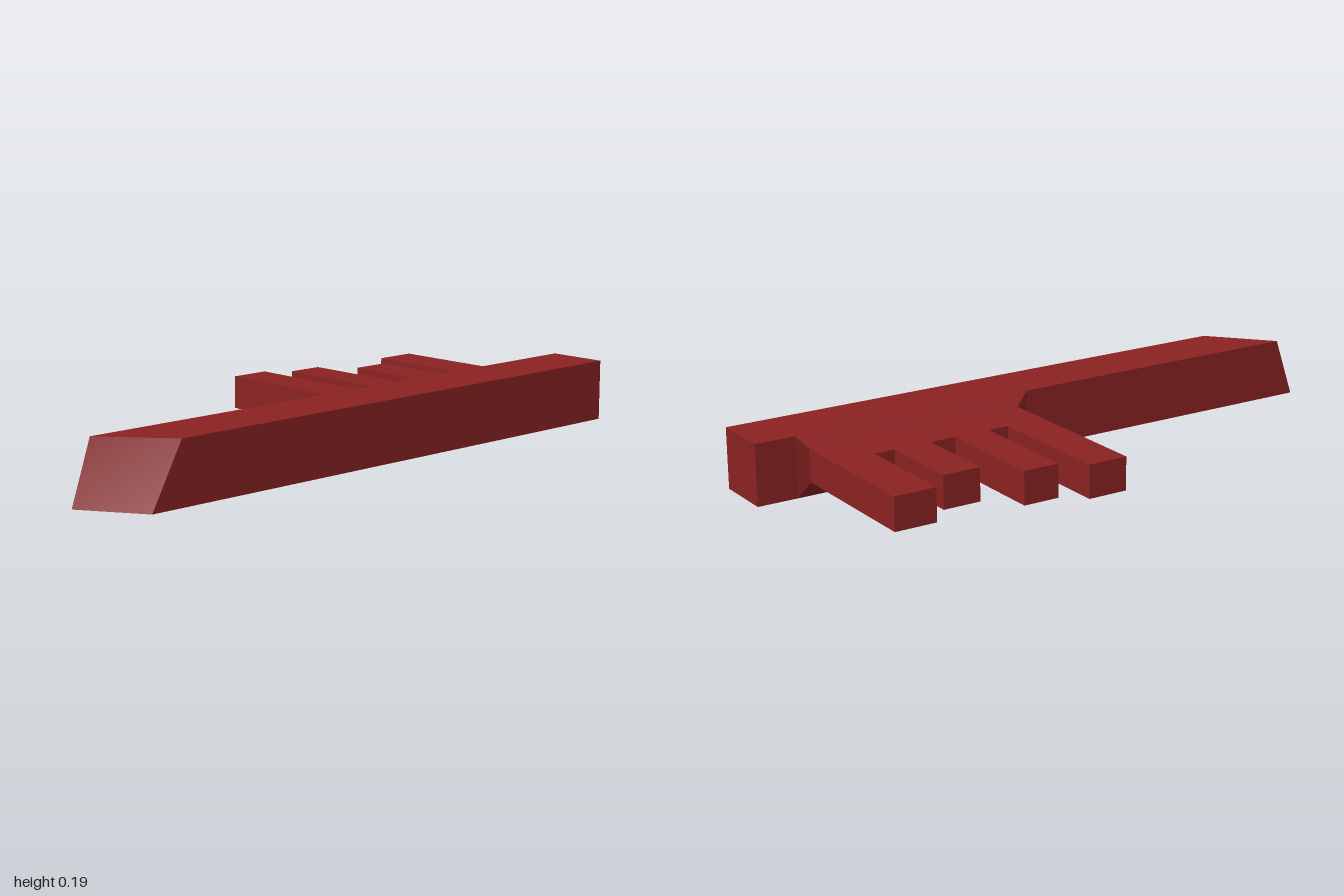
import * as THREE from 'three';

const material = new THREE.MeshStandardMaterial({ color: 0x8b2222 });

// Unit box whose corners are moved to the point given by rule(x, y, z), each 0 or 1
function hexahedron(rule) {
  const geometry = new THREE.BoxGeometry(1, 1, 1);
  const p = geometry.attributes.position;
  for (let i = 0; i < p.count; i++) {
    p.setXYZ(i, ...rule(p.getX(i) + 0.5, p.getY(i) + 0.5, p.getZ(i) + 0.5));
  }
  geometry.computeVertexNormals();
  return geometry;
}

export function createModel() {
  const group = new THREE.Group();
  const add = (name, geometry) => {
    const mesh = new THREE.Mesh(geometry, material);
    mesh.name = name;
    group.add(mesh);
  };
  const height = 0.192, back = 0.198, front = 0.389;
  const bitBottom = 0.044, bitTop = 0.148, bitStart = 0.19;
  const bitLeft = 0.83, bitRight = 0.108;

  // Square shaft, its right end cut off on a slant
  add('shaft', hexahedron((x, y, z) => {
    const slantX = -1 + 0.066 * y + 0.123 * z + 0.04 * y * z;
    return [x ? 1 : slantX, y * height, z ? front : back];
  }));

  // Sloped collar from the full shaft height down to the thinner bit
  const collar = hexahedron((x, y, z) => z
    ? [x ? bitLeft + 0.04 : bitRight - 0.04, y * height, back]
    : [x ? bitLeft : bitRight, y ? bitTop : bitBottom, bitStart]);
  // Soften the shading of its upper and lower slopes
  const n = collar.attributes.normal;
  for (let i = 8; i < 16; i++) n.setXYZ(i, 0, i < 12 ? 0.85 : -0.85, -0.53);
  add('collar', collar);

  // Comb-shaped bit: [start x, end x, z of the tip] for each tooth
  const teeth = [
    [bitRight, 0.237, -0.389],
    [0.305, 0.421, -0.33],
    [0.506, 0.628, -0.23],
    [0.695, bitLeft, -0.306],
  ];
  const valley = 0.044;
  const outline = new THREE.Shape();
  outline.moveTo(bitLeft, -bitStart - 0.005);
  for (const [x0, x1, tip] of [...teeth].reverse()) {
    if (x1 !== bitLeft) outline.lineTo(x1, -valley);
    outline.lineTo(x1, -tip);
    outline.lineTo(x0, -tip);
    if (x0 !== bitRight) outline.lineTo(x0, -valley);
  }
  outline.lineTo(bitRight, -bitStart - 0.005);
  outline.closePath();
  const bit = new THREE.ExtrudeGeometry(outline, { depth: bitTop - bitBottom, bevelEnabled: false });
  bit.rotateX(-Math.PI / 2).translate(0, bitBottom, 0);
  add('toothedBit', bit);

  return group;
}
